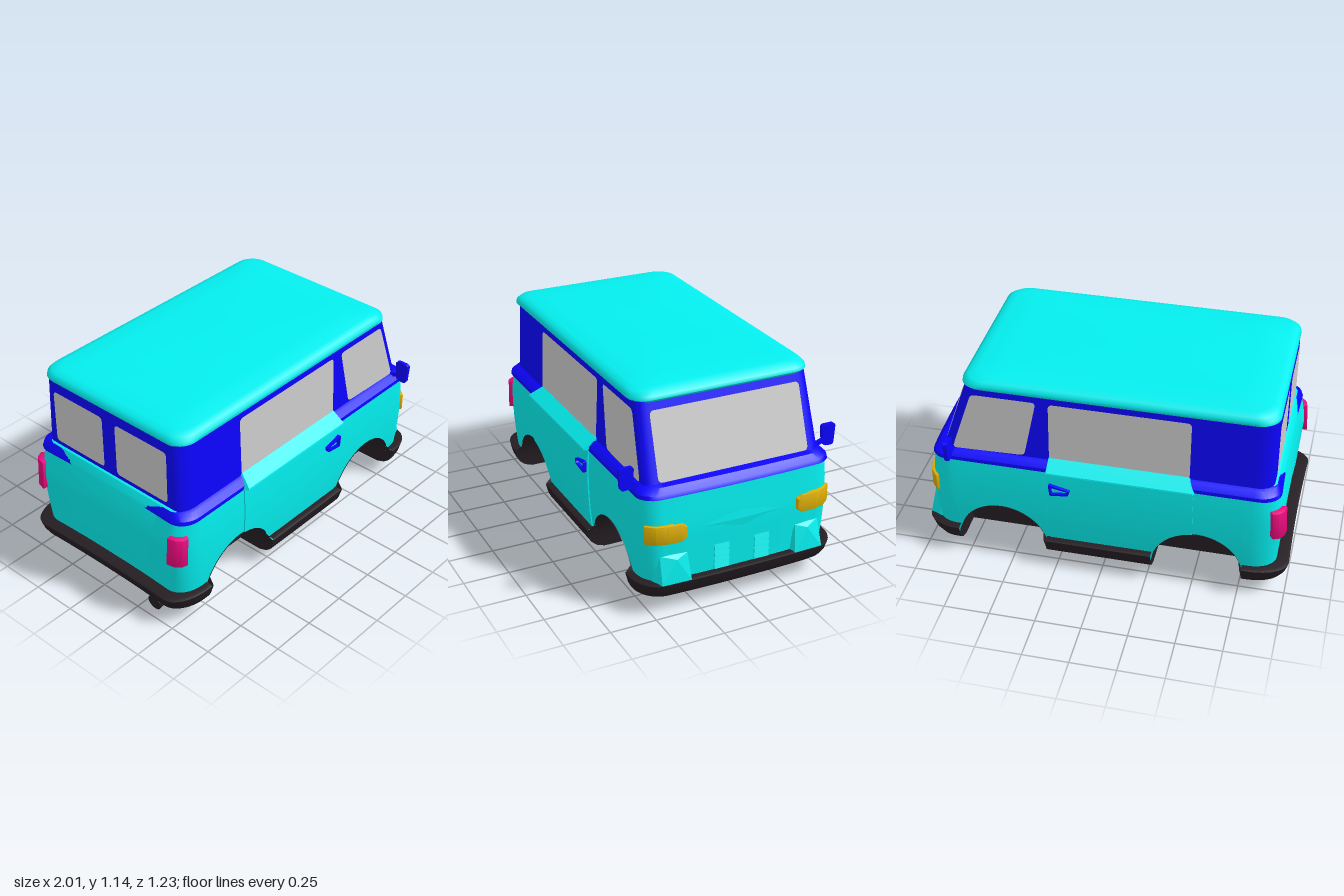
import * as THREE from 'three';
import { toCreasedNormals } from 'three/addons/utils/BufferGeometryUtils.js';
import { ConvexGeometry } from 'three/addons/geometries/ConvexGeometry.js';

const paint = (color) => new THREE.MeshStandardMaterial({ color, side: THREE.DoubleSide });
const TEAL = paint(0x04eeee), BLUE = paint(0x0c04ff), DARK = paint(0x241d22);
const AMBER = paint(0xdcae00), PINK = paint(0xe8087c), GLASS = paint(0xcccccc);

const lerp = THREE.MathUtils.lerp;
// piecewise linear lookup in [[y, value], ...]
function table(t, y) {
  let i = 0;
  while (i < t.length - 2 && y > t[i + 1][0]) i++;
  const k = THREE.MathUtils.clamp((y - t[i][0]) / (t[i + 1][0] - t[i][0]), 0, 1);
  return lerp(t[i][1], t[i + 1][1], k);
}

// wheel arches
const ARCHES = [-0.522, 0.55], R = 0.245, ARCH_Y = 0.115;
const inArch = (x) => ARCHES.some((c) => Math.abs(x - c) < R - 1e-5);
const archY = (x) => Math.max(...ARCHES.map((c) => ARCH_Y + Math.sqrt(Math.max(0, R * R - (x - c) ** 2))));

// columns along each side; they follow the arches closely
const SIDE0 = -0.8, SIDE1 = 0.82;
const XS = [SIDE0, -0.15, 0, 0.15, SIDE1];
for (const c of ARCHES) {
  XS.push(c - R + 1e-4, c + R - 1e-4);
  for (let k = 0; k <= 20; k++) XS.push(c - R * Math.cos((Math.PI * k) / 20));
}
XS.sort((a, b) => a - b);
const TS = XS.map((x) => (x - SIDE0) / (SIDE1 - SIDE0));

// rounded plan outline, starting on the +z side and heading for the nose
function ring({ y, xb, xf, hz, a = 0.1, b = 0.1, bow = 0, x0 = xb + a, x1 = xf - a }) {
  const half = TS.map((t) => [lerp(x0, x1, t), hz]);
  const end = (from, to, dir) => {
    const pts = [], push = (s, z) => pts.push([from + (to - bow * (z / (hz || 1)) ** 2 - from) * s, z * dir]);
    const corner = (k, sign) => push(Math.sin((k * Math.PI) / 16), sign * (hz - b + b * Math.cos((k * Math.PI) / 16)));
    for (let k = 1; k <= 8; k++) corner(k, 1);
    for (let k = 1; k < 8; k++) push(1, (hz - b) * (1 - k / 4));
    for (let k = 8; k >= 1; k--) corner(k, -1);
    return pts;
  };
  const back = half.map(([x, z]) => [x, -z]).reverse();
  return [...half, ...end(x1, xf, 1), ...back, ...end(x0, xb, -1)].map(([x, z]) => [x, y, z]);
}

// surface through rows of points
function loft(rows, closed = true, skip = () => false) {
  const n = rows[0].length, idx = [];
  for (let j = 0; j < rows.length - 1; j++) for (let i = 0; i < (closed ? n : n - 1); i++) {
    const k = (i + 1) % n, p = j * n, q = p + n;
    if (!skip(rows[j][i], rows[j][k])) idx.push(p + i, p + k, q + k, p + i, q + k, q + i);
  }
  const g = new THREE.BufferGeometry();
  g.setAttribute('position', new THREE.Float32BufferAttribute(rows.flat(2), 3));
  g.setIndex(idx);
  return g;
}

// polygon with softened corners
function softShape(pts, r) {
  const v = pts.map((p) => new THREE.Vector2(...p)), s = new THREE.Shape();
  v.forEach((p, i) => {
    const prev = v[(i + v.length - 1) % v.length], next = v[(i + 1) % v.length];
    const a = p.clone().add(prev.clone().sub(p).setLength(r)), b = p.clone().add(next.clone().sub(p).setLength(r));
    i ? s.lineTo(a.x, a.y) : s.moveTo(a.x, a.y);
    s.quadraticCurveTo(p.x, p.y, b.x, b.y);
  });
  s.closePath();
  return s;
}

// move every vertex by a rule
function bend(g, rule) {
  const p = g.attributes.position;
  for (let i = 0; i < p.count; i++) p.setXYZ(i, ...rule(p.getX(i), p.getY(i), p.getZ(i)));
  return g;
}
const pane = (pts, place) => bend(new THREE.ShapeGeometry(softShape(pts, 0.025), 5), place);

// plan outline [x, z] raised between two heights
function upright(plan, y0, y1) {
  const g = new THREE.ExtrudeGeometry(softShape(plan.map(([x, z]) => [x, -z]), 0.008), { depth: y1 - y0 - 0.01, bevelSize: 0.005, bevelThickness: 0.005, bevelOffset: -0.005, bevelSegments: 2 });
  return g.rotateX(-Math.PI / 2).translate(0, y0 + 0.005, 0);
}

// profile [z, y] extruded lengthwise, ending at x
const lengthwise = (shape, depth, x) =>
  new THREE.ExtrudeGeometry(shape, { depth, bevelEnabled: false }).rotateY(-Math.PI / 2).translate(x, 0, 0);

function mirrored(geo) {
  const g = geo.index ? geo.toNonIndexed() : geo.clone(), p = g.attributes.position;
  for (let i = 0; i < p.count; i += 3) {
    const v = [0, 2, 1].map((k) => [p.getX(i + k), p.getY(i + k), -p.getZ(i + k)]);
    v.forEach((q, k) => p.setXYZ(i + k, ...q));
  }
  return g;
}

// body profile by height
const bodyHZ = (y) => 0.546 - 0.22 * (y - 0.47) ** 2;
const bodyXF = (y) => table([[0.17, 0.957], [0.45, 0.962], [0.64, 0.945]], y);
const bodyXB = (y) => table([[0.17, -0.93], [0.5, -0.955], [0.64, -0.928]], y);
const SKIRT = [[0.06, 0.47], [0.075, 0.515], [0.1, 0.545], [0.13, 0.56], [0.178, 0.57]];
const cabinZ = (y) => lerp(0.497, 0.48, (y - 0.685) / 0.39);
const cabinF = (y) => lerp(0.87, 0.74, (y - 0.685) / 0.39);

export function createModel() {
  const model = new THREE.Group();
  model.name = 'van';
  const add = (name, geo, mat, crease = 0.55) => {
    const mesh = new THREE.Mesh(toCreasedNormals(geo, crease), mat);
    mesh.name = name;
    model.add(mesh);
  };
  const pair = (name, geo, mat, crease) => {
    add(name + 'Left', geo, mat, crease);
    add(name + 'Right', mirrored(geo), mat, crease);
  };

  // lower body, each column starting at the arch edge
  const bodyRing = (y) => ring({ y, xb: bodyXB(y), xf: bodyXF(y), hz: bodyHZ(y), x0: SIDE0, x1: SIDE1, b: 0.11, bow: 0.015 });
  const foot = bodyRing(0.17).map(([x, , z]) => (Math.abs(z) > 0.5 ? archY(x) : ARCH_Y));
  const rows = [];
  for (let j = 0; j <= 10; j++) rows.push(foot.map((f, i) => bodyRing(lerp(f, 0.64, j / 10))[i]));
  add('lowerBody', loft(rows), TEAL);

  // bumper skirt, open at the arches
  const EDGE = [[-0.88, 0.88], [-0.935, 0.935], [-0.968, 0.965], [-0.985, 0.985], [-1, 1]];
  const skirt = [
    ...SKIRT.map(([y, hz], i) => ({ y, hz, xb: EDGE[i][0], xf: EDGE[i][1] })),
    { y: 0.183, xb: -0.985, xf: 0.985, hz: 0.555 }, { y: 0.18, xb: -0.9, xf: 0.93, hz: 0.505 },
  ].map((l) => ring({ ...l, x0: SIDE0, x1: SIDE1, b: 0.12, bow: 0.015 }));
  add('bumperSkirt', loft(skirt, true, (p, q) => Math.abs(p[2]) > 0.4 && inArch((p[0] + q[0]) / 2)), DARK);

  // floor with notches for the wheels and a sunken tray in the middle
  const WELL = 0.33, TRAY = [[-0.5, -0.27], [-0.5, 0.27], [0.5, 0.27], [0.5, -0.27]];
  const floor = new THREE.Shape(skirt[0].map(([x, , z]) =>
    new THREE.Vector2(x, Math.abs(z) > 0.4 && inArch(x) ? Math.sign(z) * WELL : z)));
  floor.holes.push(new THREE.Path(TRAY.map((p) => new THREE.Vector2(...p))));
  add('floor', new THREE.ShapeGeometry(floor).rotateX(Math.PI / 2).translate(0, 0.06, 0), DARK);
  add('floorTray', loft([[0.06, 1], [0.15, 0.96], [0.15, 0]].map(([y, s]) => TRAY.map(([x, z]) => [x * s, y, z * s]))), DARK, 0.3);

  // wheel wells
  ARCHES.forEach((c, n) => {
    const arc = [[c - R, 0.06], [c - R, 0.09]];
    for (let k = 0; k <= 24; k++) arc.push([c - R * Math.cos((Math.PI * k) / 24), ARCH_Y + R * Math.sin((Math.PI * k) / 24)]);
    arc.push([c + R, 0.09], [c + R, 0.06]);
    const outer = arc.map(([x, y]) => [x, y, y < 0.18 ? table(SKIRT, y) : bodyHZ(y) + 0.004]);
    const g = loft([outer, arc.map(([x, y]) => [x, y, WELL]), arc.map(() => [c, 0.06, WELL])], false);
    pair(n ? 'frontWheelWell' : 'rearWheelWell', g, DARK);
  });

  // waist band, cabin and roof
  add('waistBand', loft([
    { y: 0.635, xb: -0.932, xf: 0.95, hz: 0.543, bow: 0.015 }, { y: 0.655, xb: -0.925, xf: 0.942, hz: 0.541, bow: 0.015 },
    { y: 0.682, xb: -0.907, xf: 0.91, hz: 0.515, bow: 0.01 }, { y: 0.69, xb: -0.87, xf: 0.85, hz: 0.485 },
  ].map(ring)), BLUE);
  add('cabin', loft([0.68, 1.075].map((y) => ring({ y, xb: -0.9, xf: cabinF(y), hz: cabinZ(y), x1: cabinF(y) - 0.04, b: 0.065 }))), BLUE);
  add('roof', loft([
    { y: 1.065, xb: -0.87, xf: 0.71, hz: 0.46 }, { y: 1.068, xb: -0.895, xf: 0.745, hz: 0.488 },
    { y: 1.082, xb: -0.905, xf: 0.758, hz: 0.502 }, { y: 1.1, xb: -0.902, xf: 0.755, hz: 0.5 },
    { y: 1.118, xb: -0.885, xf: 0.73, hz: 0.485 }, { y: 1.128, xb: -0.85, xf: 0.69, hz: 0.45 },
    { y: 1.136, xb: -0.7, xf: 0.55, hz: 0.33 }, { y: 1.14, xb: -0.08, xf: -0.08, hz: 0, a: 0, b: 0 },
  ].map((l) => ring(l))), TEAL, 0.9);

  // windows
  const onSide = (x, y) => [x, y, cabinZ(y) + 0.003];
  pair('sideWindow', pane([[-0.465, 0.69], [0.285, 0.69], [0.285, 1.03], [-0.465, 1.03]], onSide), GLASS);
  pair('cabWindow', pane([[0.42, 0.695], [0.815, 0.685], [0.7, 1.03], [0.35, 1.03]], onSide), GLASS);
  add('windscreen', pane([[0.425, 0.69], [-0.425, 0.69], [-0.42, 1.03], [0.42, 1.03]], (z, y) => [cabinF(y) + 0.004, y, z]), GLASS);
  pair('rearWindow', pane([[0.045, 0.715], [0.4, 0.715], [0.4, 1.02], [0.045, 1.02]], (z, y) => [-0.904, y, z]), GLASS);

  // tailgate panel running up to the rear windows
  add('tailgate', loft([[0.185, -0.935], [0.5, -0.96], [0.638, -0.935], [0.656, -0.929], [0.684, -0.911], [0.692, -0.89]].map(([y, x]) =>
    [-0.455, -0.43, 0.43, 0.455].map((z) => [Math.abs(z) > 0.44 ? x + 0.012 : x, y, z])), false), TEAL);

  // side doors, slightly proud of the body, with a sloping ledge on top
  const xs = [-0.495, ...XS.filter((x) => x > -0.49 && x < 0.28), 0.287];
  const doorRow = (t) => {
    const pts = xs.map((x) => {
      const y = lerp(Math.max(0.185, archY(x)), 0.64, t);
      return [x, y, bodyHZ(y) + 0.007];
    });
    const edge = (p) => [p[0], p[1], p[2] - 0.02];
    return [edge(pts[0]), ...pts, edge(pts.at(-1))];
  };
  pair('sideDoor', loft([0, 0.2, 0.4, 0.6, 0.8, 1].map(doorRow), false), TEAL);
  const ledge = new THREE.Shape([[0.485, 0.64], [0.545, 0.637], [0.575, 0.645], [0.573, 0.653], [0.5, 0.7], [0.485, 0.7]].map((p) => new THREE.Vector2(...p)));
  // its rear end leans forwards
  pair('doorLedge', bend(lengthwise(ledge, 0.785, 0.287), (x, y, z) => [x < 0 ? x + (y - 0.64) * 0.6 : x, y, z]), TEAL);

  // door handles
  const handle = softShape([[0.16, 0.545], [0.17, 0.515], [0.27, 0.503], [0.277, 0.572]], 0.008);
  handle.holes.push(softShape([[0.173, 0.54], [0.178, 0.524], [0.26, 0.514], [0.265, 0.557]], 0.004));
  pair('doorHandle', new THREE.ExtrudeGeometry(handle, { depth: 0.025, bevelEnabled: false }).translate(0, 0, 0.545), BLUE);

  // lamps wrapping the corners; the headlamps narrow towards the middle
  const headlamp = upright([[0.973, 0.315], [0.975, 0.35], [0.972, 0.42], [0.956, 0.48], [0.916, 0.53], [0.88, 0.5], [0.92, 0.35], [0.92, 0.315]], 0.397, 0.497);
  pair('headlamp', bend(headlamp, (x, y, z) => [x, 0.447 + (y - 0.447) * (z < 0.335 ? 0.62 : 1), z]), AMBER);
  const tailLamp = upright([[-0.98, 0.455], [-0.969, 0.505], [-0.945, 0.532], [-0.912, 0.543], [-0.88, 0.49], [-0.92, 0.455]], 0.4, 0.567);
  pair('tailLamp', bend(tailLamp, (x, y, z) => [x + (y - 0.48) * 0.06, y, z]), PINK);

  // nose details: shallow ridge, louvres and bumper guards
  const V = (x, y, z) => new THREE.Vector3(x, y, z);
  add('noseRidge', new ConvexGeometry([V(0.955, 0.446, 0.315), V(0.955, 0.446, -0.315), V(0.961, 0.49, 0), V(0.962, 0.402, 0), V(0.967, 0.446, 0)]), TEAL, 0.1);
  for (let k = 0; k < 4; k++) {
    pair('louvre', new THREE.BoxGeometry(0.02, 0.03, 0.084).rotateZ(0.3).translate(0.955, 0.2 + k * 0.036, 0.115), TEAL);
  }
  pair('bumperGuard', new ConvexGeometry([
    V(0.93, 0.18, 0.285), V(0.92, 0.18, 0.49), V(0.962, 0.325, 0.31), V(0.945, 0.325, 0.455),
    V(0.995, 0.18, 0.3), V(0.99, 0.18, 0.46), V(0.98, 0.305, 0.375),
  ]), TEAL, 0.1);

  // wing mirrors
  pair('wingMirror', lengthwise(softShape([[0.545, 0.667], [0.608, 0.663], [0.617, 0.785], [0.534, 0.785]], 0.02), 0.022, 0.826), BLUE);
  pair('mirrorArm', new THREE.BoxGeometry(0.02, 0.02, 0.08).rotateX(-0.4).translate(0.815, 0.685, 0.52), BLUE);

  // flared exhaust
  add('exhaust', new THREE.CylinderGeometry(0.022, 0.044, 0.19, 20).rotateZ(-Math.PI / 2 + 0.1).translate(-0.86, 0.055, 0.33), DARK);
  return model;
}
